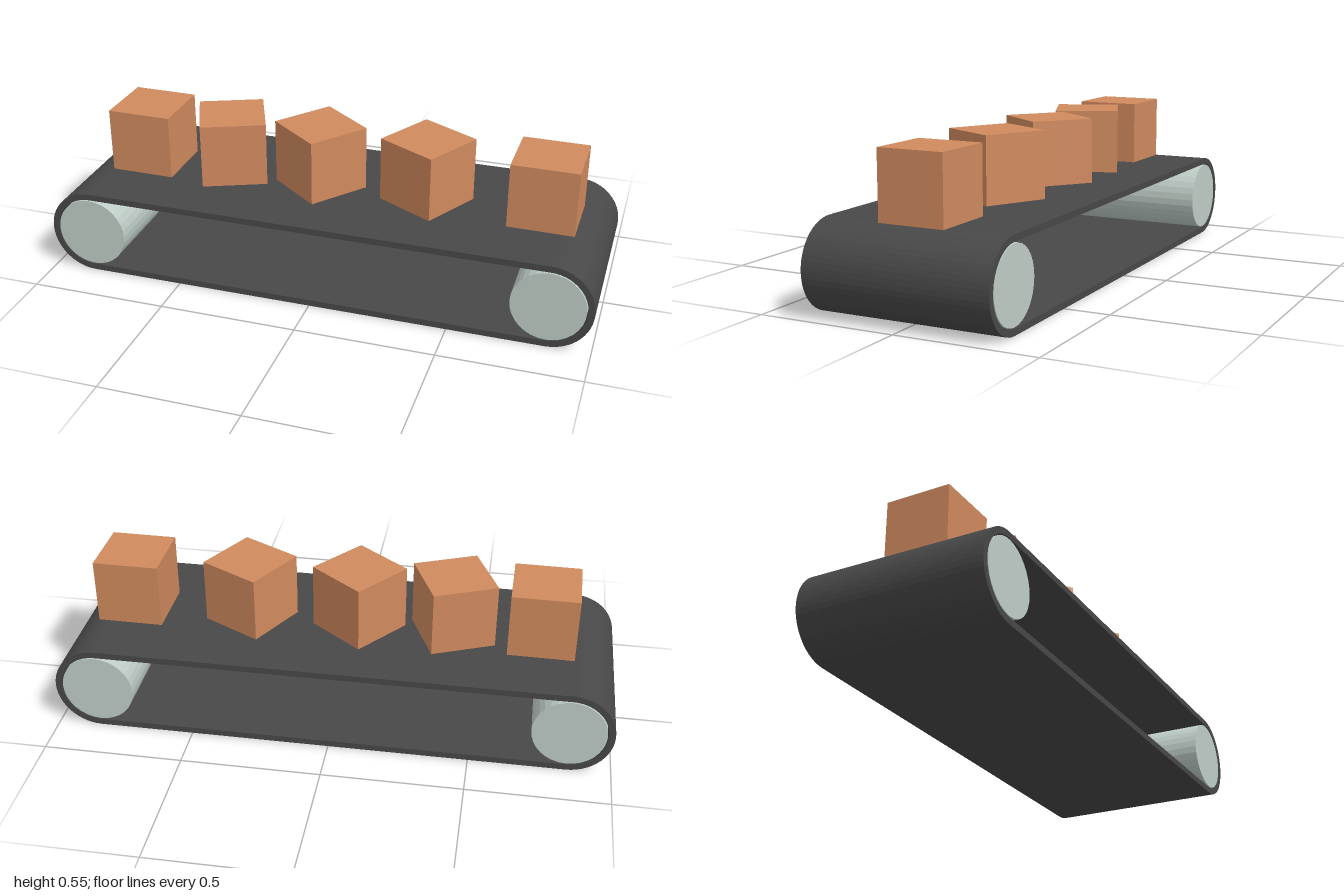
import * as THREE from 'three';

const beltMat = new THREE.MeshStandardMaterial({ name: 'darkRubber', color: 0x484848 });
const rollerMat = new THREE.MeshStandardMaterial({ name: 'paleMetal', color: 0xc0cec8, flatShading: true });
const boxMat = new THREE.MeshStandardMaterial({ name: 'cardboard', color: 0xd08a5e });

const R = 0.157;          // outer belt radius
const THICK = 0.023;      // belt thickness
const AXLE_X = 0.843;     // roller centre distance
const WIDTH = 0.674;      // belt width
const BOX = 0.238;

// Stadium outline: two straight runs joined by half circles
function stadium(target, r) {
  target.moveTo(-AXLE_X, -r);
  target.lineTo(AXLE_X, -r);
  target.absarc(AXLE_X, 0, r, -Math.PI / 2, Math.PI / 2, false);
  target.lineTo(-AXLE_X, r);
  target.absarc(-AXLE_X, 0, r, Math.PI / 2, Math.PI * 1.5, false);
  return target;
}

export function createModel() {
  const model = new THREE.Group();
  model.name = 'conveyor';

  // Belt loop
  const shape = stadium(new THREE.Shape(), R);
  shape.holes.push(stadium(new THREE.Path(), R - THICK));
  const beltGeo = new THREE.ExtrudeGeometry(shape, { depth: WIDTH, bevelEnabled: false, curveSegments: 13 });
  beltGeo.translate(0, R, -WIDTH / 2);
  const belt = new THREE.Mesh(beltGeo, beltMat);
  belt.name = 'belt';
  model.add(belt);

  // End rollers
  const rollerGeo = new THREE.CylinderGeometry(0.13, 0.13, WIDTH, 32);
  rollerGeo.rotateX(Math.PI / 2);
  for (const side of [-1, 1]) {
    const roller = new THREE.Mesh(rollerGeo, rollerMat);
    roller.name = side > 0 ? 'leftRoller' : 'rightRoller';
    roller.position.set(side * AXLE_X, R, 0);
    model.add(roller);
  }

  // Parcels: x position and turn in degrees
  const boxGeo = new THREE.BoxGeometry(BOX, BOX, BOX);
  [[-0.727, -0.8], [-0.406, 22.8], [-0.063, -38.2], [0.338, -28.5], [0.77, -0.6]].forEach(([x, turn], i) => {
    const parcel = new THREE.Mesh(boxGeo, boxMat);
    parcel.name = `parcel${i + 1}`;
    parcel.position.set(x, 2 * R + 0.001 + BOX / 2, -0.002);
    parcel.rotation.y = THREE.MathUtils.degToRad(turn);
    model.add(parcel);
  });

  return model;
}
